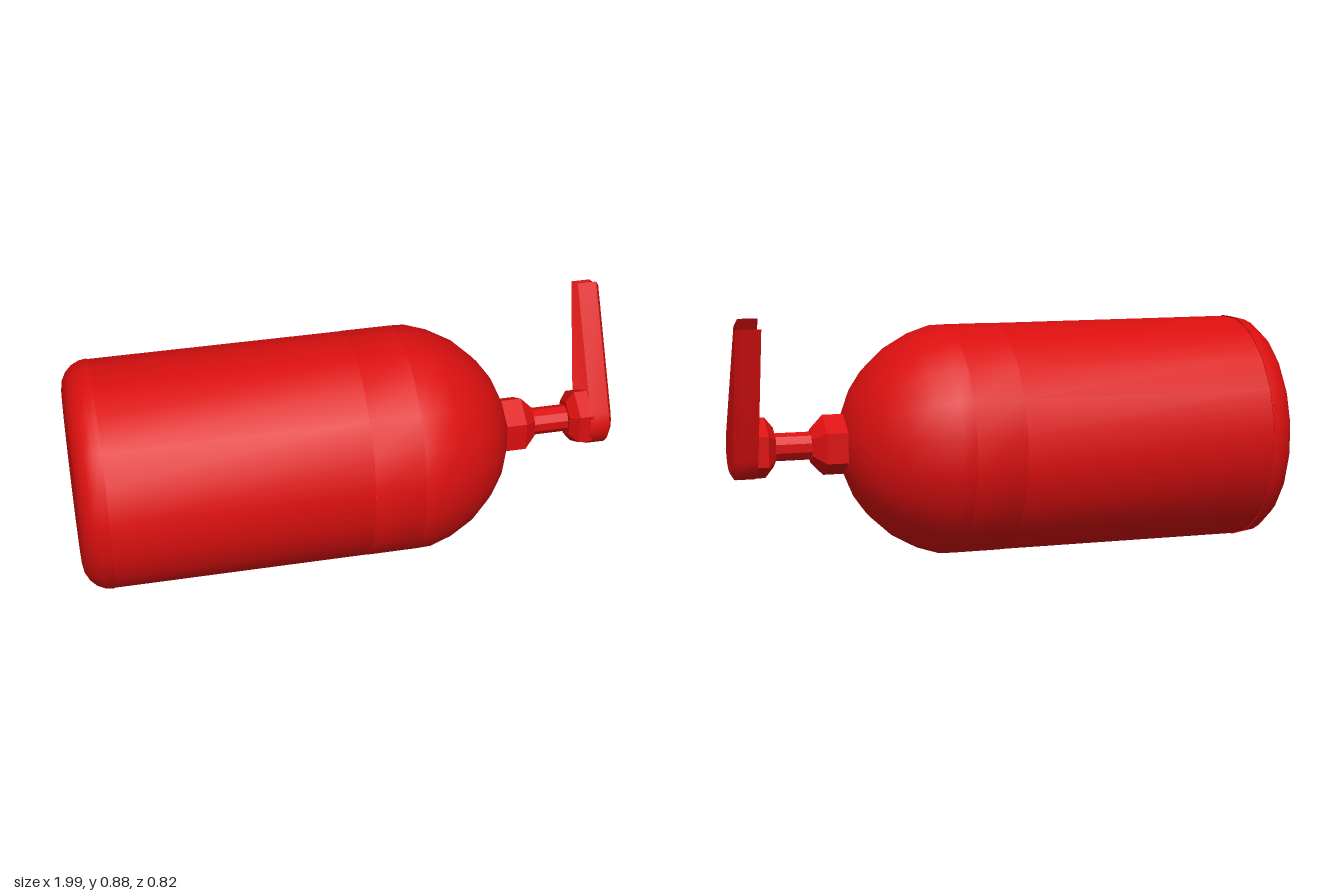
import * as THREE from 'three';
import { toCreasedNormals } from 'three/addons/utils/BufferGeometryUtils.js';

const AXIS_Y = 0.412;

export function createModel() {
  const model = new THREE.Group();
  const red = new THREE.MeshStandardMaterial({ color: 0xdb0f0f, side: THREE.DoubleSide });
  red.name = 'red';

  // Adds a part turned around the long axis; profile is a list of [x, radius]
  function turned(name, profile, sides, crease = 0.6) {
    const points = profile.map(([x, r]) => new THREE.Vector2(r, x));
    const lathe = new THREE.LatheGeometry(points, sides, Math.PI / sides);
    const mesh = new THREE.Mesh(toCreasedNormals(lathe, crease), red);
    mesh.name = name;
    mesh.rotation.z = -Math.PI / 2;
    mesh.position.y = AXIS_Y;
    model.add(mesh);
  }

  // Tank: rounded base, straight shell, collar band and domed shoulder
  const base = [[-1, 0]];
  for (let i = 0; i <= 5; i++) {
    const a = (i / 5) * Math.PI / 2;
    base.push([-0.9 - 0.1 * Math.cos(a), 0.315 + 0.1 * Math.sin(a)]);
  }
  turned('tankBase', base, 20);
  turned('tankShell', [[-0.9, 0.412], [0.02, 0.412]], 20);
  turned('tankBand', [[0.02, 0.413], [0.2, 0.413]], 20);
  turned('tankDome', [
    [0.2, 0.413], [0.25, 0.411], [0.33, 0.385], [0.42, 0.335], [0.49, 0.27],
    [0.54, 0.2], [0.57, 0.13], [0.585, 0.07], [0.59, 0],
  ], 20, 0.8);

  // Neck: hexagonal nut, pipe and valve head
  turned('neckNut', [[0.57, 0], [0.58, 0.108], [0.655, 0.108], [0.7, 0.06], [0.7, 0]], 6);
  turned('neckPipe', [[0.69, 0.05], [0.86, 0.05]], 10);
  turned('valveNut', [[0.83, 0], [0.83, 0.07], [0.86, 0.108], [0.91, 0.108], [0.93, 0.08], [0.93, 0]], 6);

  // Lever: a tapering channel with a round foot, open at its top and inner side
  function leverOutline(x, inset) {
    const r = 0.108 - inset;
    const line = [[x, 0.885 - inset, -0.165 - inset * 0.6]];
    for (let i = 0; i <= 10; i++) {
      const a = 0.55 - (i / 10) * (Math.PI + 0.35);
      line.push([x, AXIS_Y + r * Math.sin(a), -0.005 + r * Math.cos(a)]);
    }
    line.push([x, 0.855 - inset * 0.3, -0.235 + inset]);
    return line;
  }
  const sections = [leverOutline(0.9, 0), leverOutline(0.97, 0), leverOutline(0.985, 0.024)];
  const count = sections[0].length;
  const index = [];
  for (let s = 0; s < sections.length - 1; s++) {
    for (let i = 0; i < count - 1; i++) {
      const a = s * count + i;
      const b = a + count;
      index.push(a, b, a + 1, a + 1, b, b + 1);
    }
  }
  const cap = (sections.length - 1) * count;
  for (let i = 1; i < count - 1; i++) index.push(cap, cap + i + 1, cap + i);
  const leverGeometry = new THREE.BufferGeometry();
  leverGeometry.setAttribute('position', new THREE.Float32BufferAttribute(sections.flat(2), 3));
  leverGeometry.setIndex(index);
  const lever = new THREE.Mesh(toCreasedNormals(leverGeometry, 0.5), red);
  lever.name = 'lever';
  model.add(lever);

  return model;
}
